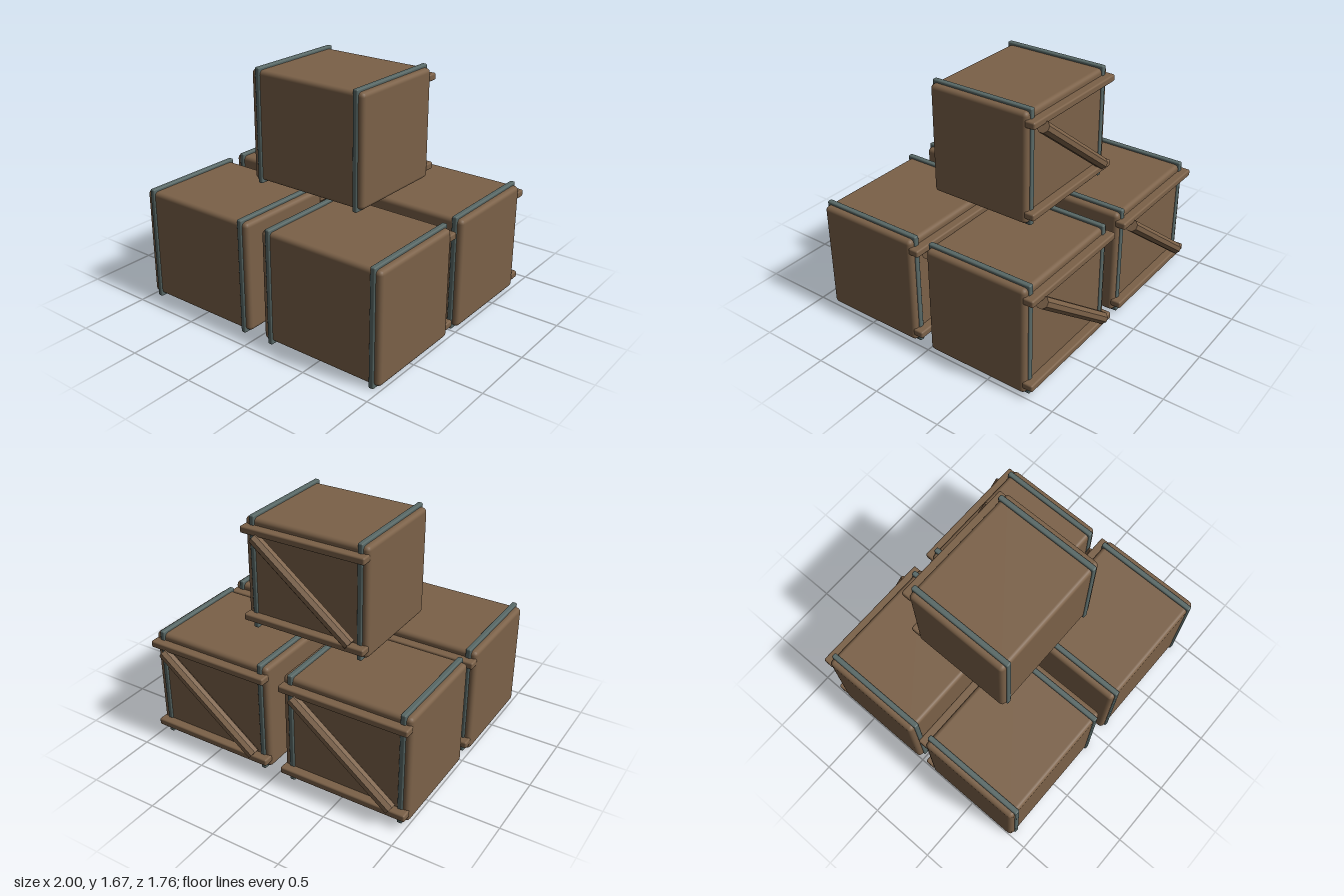
import * as THREE from 'three';
import { RoundedBoxGeometry } from 'three/addons/geometries/RoundedBoxGeometry.js';

const wood = new THREE.MeshStandardMaterial({ color: 0x7b6148 });
wood.name = 'brown wood';
const metal = new THREE.MeshStandardMaterial({ color: 0x586866 });
metal.name = 'grey metal';

// Bar with chamfered long edges, lying along x and centred
function chamferedBar(length, width, thickness, c) {
  const w = width / 2, t = thickness / 2;
  const shape = new THREE.Shape([
    [t, -w + c], [t, w - c], [t - c, w], [-t + c, w],
    [-t, w - c], [-t, -w + c], [-t + c, -w], [t - c, -w],
  ].map(([x, y]) => new THREE.Vector2(x, y)));
  const g = new THREE.ExtrudeGeometry(shape, { depth: length, bevelEnabled: false });
  g.translate(0, 0, -length / 2);
  g.rotateY(Math.PI / 2);
  return g;
}

const bodyGeo = new RoundedBoxGeometry(0.94, 0.79, 0.765, 2, 0.03);
const strapGeo = new RoundedBoxGeometry(0.038, 0.83, 0.785, 2, 0.01);
const railGeo = new RoundedBoxGeometry(0.94, 0.05, 0.078, 2, 0.012);
const braceGeo = chamferedBar(0.927, 0.08, 0.083, 0.024);

function part(group, name, geometry, material, x, y, z) {
  const mesh = new THREE.Mesh(geometry, material);
  mesh.name = name;
  mesh.position.set(x, y, z);
  group.add(mesh);
  return mesh;
}

function createCrate() {
  const crate = new THREE.Group();
  part(crate, 'crateBody', bodyGeo, wood, 0, 0, 0);
  // Metal bands around both ends, wooden rails across the back
  for (const s of [-1, 1]) {
    part(crate, 'strap', strapGeo, metal, s * 0.41, 0, 0);
    part(crate, 'backRail', railGeo, wood, 0, s * 0.323, -0.404);
  }
  // Diagonal brace between the rails
  part(crate, 'diagonalBrace', braceGeo, wood, 0, 0, -0.435).rotation.z = THREE.MathUtils.degToRad(38);
  return crate;
}

export function createModel() {
  const model = new THREE.Group();
  model.name = 'crateStack';
  // Four crates on the ground and one on top
  const places = [
    [-0.53, 0.415, 0.49], [0.53, 0.415, 0.49],
    [-0.53, 0.415, -0.405], [0.53, 0.415, -0.405],
    [0, 1.258, -0.035],
  ];
  places.forEach(([x, y, z], i) => {
    const crate = createCrate();
    crate.name = i < 4 ? 'lowerCrate' : 'topCrate';
    crate.position.set(x, y, z);
    model.add(crate);
  });
  return model;
}
